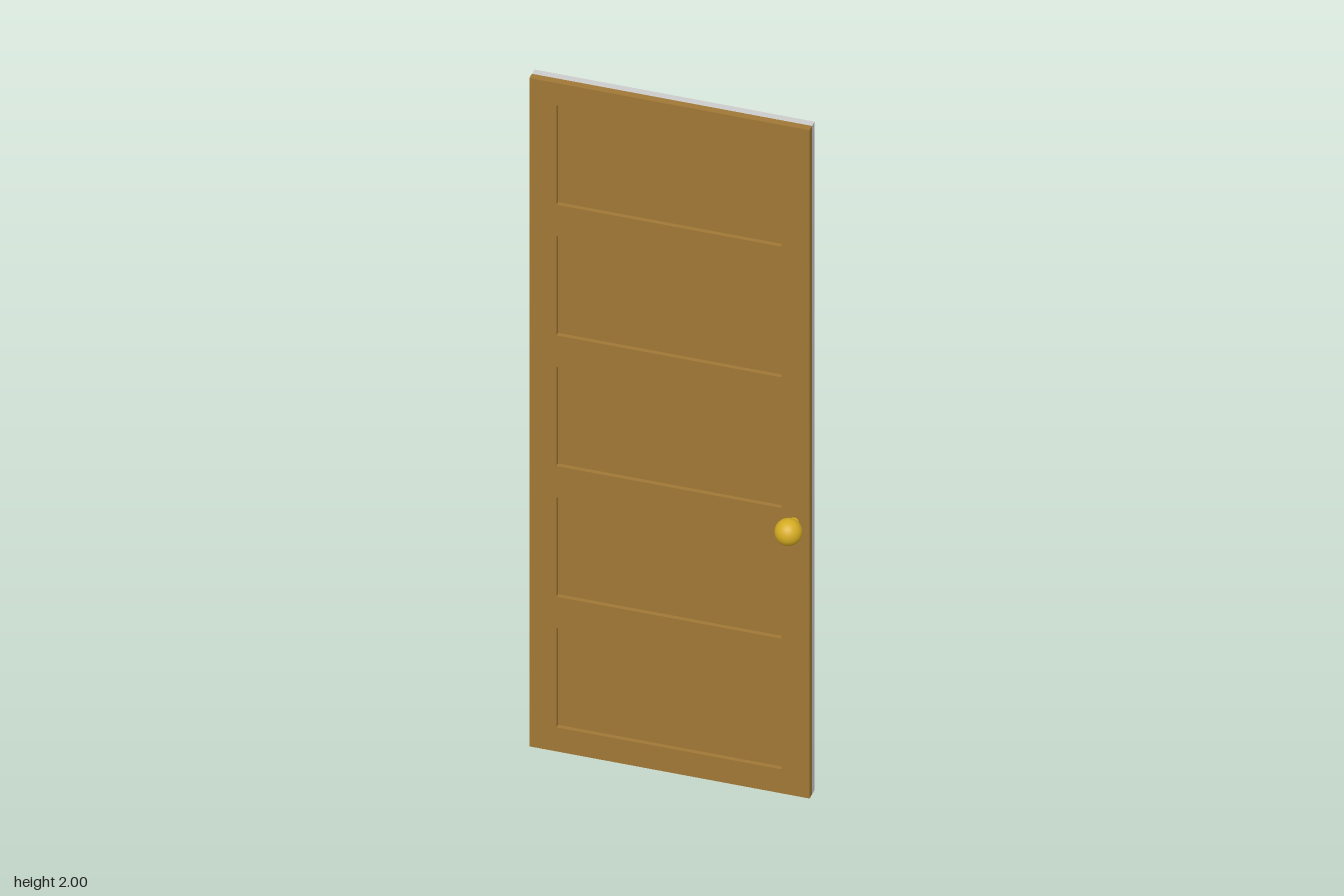
import * as THREE from 'three';

const material = (name, color) => {
  const m = new THREE.MeshStandardMaterial({ color });
  m.name = name;
  return m;
};

export function createModel() {
  const door = new THREE.Group();
  door.name = 'door';
  const wood = material('brown wood', 0xa07836);
  const paint = material('light grey paint', 0xcccccc);
  const brass = material('brass', 0xd4ab22);
  const steel = material('grey steel', 0xa6a6a6);

  const add = (name, geometry, mat, x, y, z, parent = door) => {
    const mesh = new THREE.Mesh(geometry, mat);
    mesh.name = name;
    mesh.position.set(x, y, z);
    parent.add(mesh);
    return mesh;
  };

  const W = 0.731, H = 2;
  const back = -0.025, middle = -0.005, front = 0.015, recess = 0.012;

  // Painted back half of the leaf
  add('backLeaf', new THREE.BoxGeometry(W, H, middle - back), paint, 0, H / 2, (back + middle) / 2);

  // Wooden front half: a solid core and a frame with five panel openings
  const core = front - recess - middle;
  add('panelCore', new THREE.BoxGeometry(W, H, core), wood, 0, H / 2, middle + core / 2);
  const frame = new THREE.Shape([
    new THREE.Vector2(-W / 2, 0), new THREE.Vector2(W / 2, 0),
    new THREE.Vector2(W / 2, H), new THREE.Vector2(-W / 2, H),
  ]);
  const left = -0.295, right = 0.292, panelHeight = 0.297;
  for (let i = 0; i < 5; i++) {
    const y = 0.072 + i * 0.391;
    frame.holes.push(new THREE.Path([
      new THREE.Vector2(left, y), new THREE.Vector2(left, y + panelHeight),
      new THREE.Vector2(right, y + panelHeight), new THREE.Vector2(right, y),
    ]));
  }
  add('panelFrame', new THREE.ExtrudeGeometry(frame, { depth: recess, bevelEnabled: false }),
    wood, 0, 0, front - recess);

  // Round knob on the front
  const knob = new THREE.Group();
  knob.name = 'knob';
  knob.position.set(0.326, 0.82, 0);
  door.add(knob);
  add('knobStem', new THREE.CylinderGeometry(0.013, 0.013, 0.04, 24), brass, 0, 0, 0.03, knob).rotation.x = Math.PI / 2;
  add('knobBall', new THREE.SphereGeometry(0.035, 32, 20), brass, 0, 0, 0.062, knob);

  // Back plate and bent lever on the back
  const lever = new THREE.Group();
  lever.name = 'leverHandle';
  lever.position.y = 0.82;
  door.add(lever);
  add('backPlate', new THREE.BoxGeometry(0.113, 0.25, 0.0035), steel, 0.2915, 0.005, back - 0.001, lever);

  const radius = 0.012, stemX = 0.314, gripZ = -0.087, bend = 0.038, tipX = 0.163;
  const points = [];
  for (let i = 0; i <= 12; i++) {
    const a = (i / 12) * Math.PI / 2;
    points.push(new THREE.Vector3(
      stemX - bend + bend * Math.cos(a), 0, gripZ + bend - bend * Math.sin(a)));
  }
  const path = new THREE.CurvePath();
  const line = (a, b) => path.add(new THREE.LineCurve3(a, b));
  line(new THREE.Vector3(stemX, 0, back), points[0]);
  for (let i = 0; i < 12; i++) line(points[i], points[i + 1]);
  line(points[12], new THREE.Vector3(tipX, 0, gripZ));
  add('lever', new THREE.TubeGeometry(path, 64, radius, 20), steel, 0, 0, 0, lever);
  add('leverEnd', new THREE.CircleGeometry(radius, 20), steel, tipX, 0, gripZ, lever).rotation.y = -Math.PI / 2;

  return door;
}
